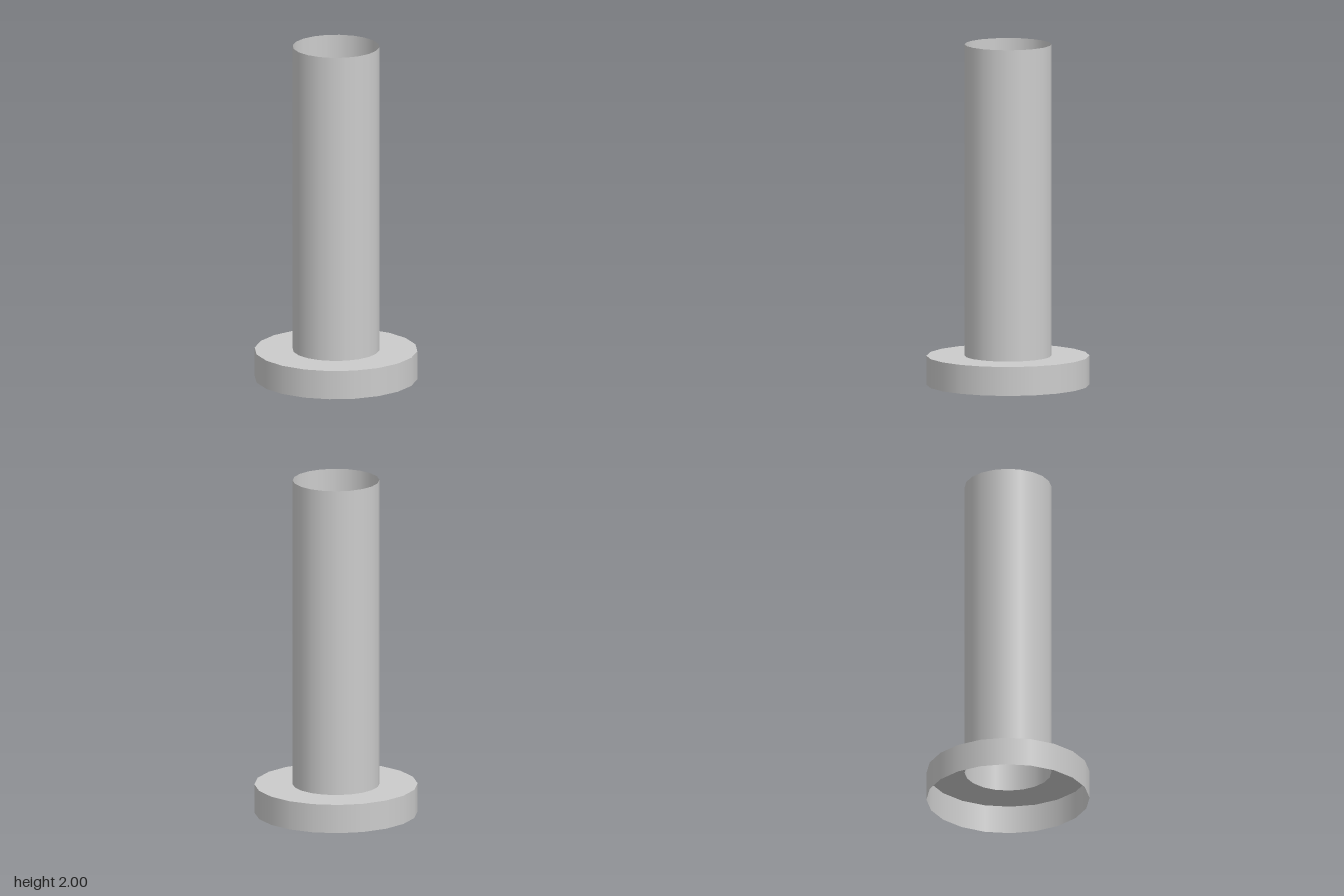
import * as THREE from 'three';

const SIDES = 20;
const TUBE_R = 0.253, FLANGE_R = 0.475, FLANGE_H = 0.17, HEIGHT = 2;

export function createModel() {
  const group = new THREE.Group();
  const material = new THREE.MeshStandardMaterial({ color: 0xcccccc, side: THREE.DoubleSide });

  const add = (name, geometry) => {
    const mesh = new THREE.Mesh(geometry, material);
    mesh.name = name;
    group.add(mesh);
  };

  // Open-ended wall between two heights
  const wall = (radius, y0, y1) =>
    new THREE.CylinderGeometry(radius, radius, y1 - y0, SIDES, 1, true).translate(0, (y0 + y1) / 2, 0);

  // Hollow pipe rising from the flange, open at both ends
  add('pipe', wall(TUBE_R, FLANGE_H, HEIGHT));

  // Flange: outer skirt, open underneath, and a flat ring on top
  add('flangeSkirt', wall(FLANGE_R, 0, FLANGE_H));
  add('flangeTop', new THREE.RingGeometry(TUBE_R, FLANGE_R, SIDES)
    .rotateX(-Math.PI / 2).translate(0, FLANGE_H, 0));

  return group;
}
